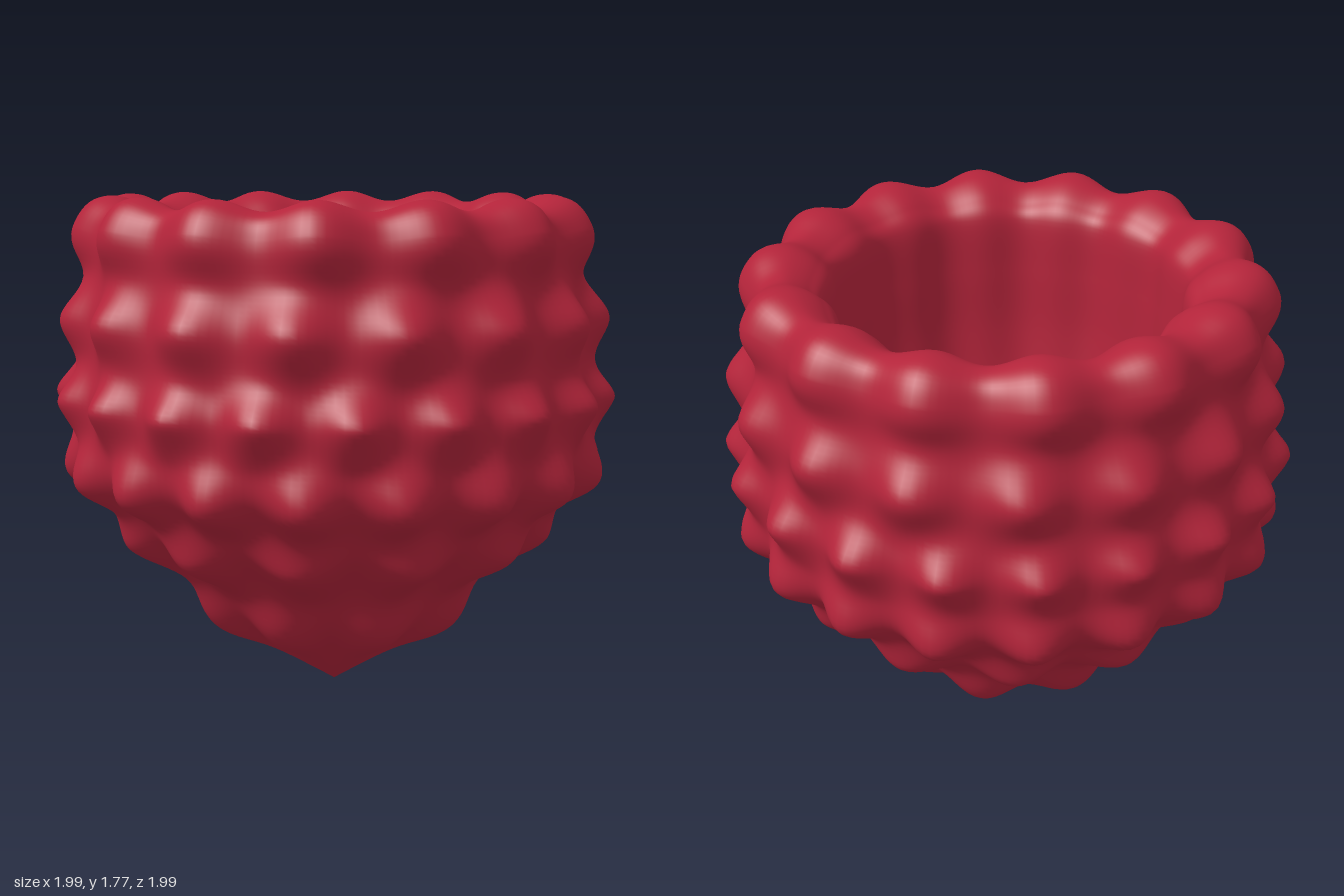
import * as THREE from 'three';
import { mergeVertices } from 'three/addons/utils/BufferGeometryUtils.js';

// Berry rows from the tip up: count around, angle of first bump, height of bump
const ROWS = [
  [8, -0.1, 0.085], [12, 0.15, 0.105], [18, -0.14, 0.115],
  [19, 0.06, 0.115], [16, 0.17, 0.115], [14, 0.25, 0.105],
];

// Profile: radius, height, row position (whole numbers are row centres)
const PROFILE = [
  [0, 0, 0], [0.2, 0.13, 0.4], [0.4, 0.31, 1], [0.53, 0.45, 1.5],
  [0.69, 0.62, 2], [0.785, 0.71, 2.5], [0.86, 0.84, 3], [0.895, 0.95, 3.5],
  [0.885, 1.07, 4], [0.88, 1.2, 4.5], [0.86, 1.34, 5], [0.845, 1.49, 5.5],
  [0.82, 1.63, 6], [0.795, 1.69, 6.18], [0.74, 1.715, 6.35], [0.67, 1.695, 6.5],
  [0.62, 1.645, 6.6], [0.605, 1.45, 6.65], [0.595, 1.2, 6.7], [0.555, 0.95, 6.75],
  [0.46, 0.69, 6.82], [0.32, 0.46, 6.88], [0.15, 0.31, 6.95], [0, 0.27, 7],
];

// Height of the bumps at an angle and a row position
function bumpHeight(angle, s) {
  let sum = 0;
  ROWS.forEach(([count, phase, height], i) => {
    const d = Math.abs(s - (i + 1));
    if (d >= 1) return;
    const fall = Math.pow(Math.cos(d * Math.PI / 2), 4.5);
    const around = 0.5 + 0.5 * Math.cos(count * (angle - phase));
    sum += height * fall * (0.35 + 0.65 * around);
  });
  // Soft flutes down the hollow
  const flute = THREE.MathUtils.smoothstep(s, 6.3, 6.6) * (7 - s) * 0.025;
  return sum + flute * Math.cos(14 * (angle - 0.25));
}

export function createModel() {
  const group = new THREE.Group();
  group.name = 'hollowBerry';
  const berryRed = new THREE.MeshStandardMaterial({ color: 0xb3243a });
  berryRed.name = 'berryRed';

  // Turned wall: up the outside, over the rim and down into the hollow
  const curve = new THREE.CatmullRomCurve3(PROFILE.map((p) => new THREE.Vector3(...p)));
  const rings = curve.getPoints(184);
  rings[0].x = rings[184].x = 0;
  const around = 216;
  const lathe = new THREE.LatheGeometry(
    rings.map((p) => new THREE.Vector2(Math.max(0, p.x), p.y)), around);

  // Push each point out along its normal to raise the bumps
  const pos = lathe.attributes.position;
  const nor = lathe.attributes.normal;
  for (let i = 0; i < pos.count; i++) {
    const ring = rings[i % rings.length];
    if (ring.x < 1e-6) continue;
    const angle = Math.floor(i / rings.length) / around * Math.PI * 2;
    const h = bumpHeight(angle, ring.z);
    pos.setXYZ(i, pos.getX(i) + nor.getX(i) * h,
      pos.getY(i) + nor.getY(i) * h, pos.getZ(i) + nor.getZ(i) * h);
  }

  // Weld the seam so the shading runs smoothly all round
  lathe.deleteAttribute('uv');
  lathe.deleteAttribute('normal');
  const geometry = mergeVertices(lathe, 1e-5);
  geometry.computeVertexNormals();
  const mesh = new THREE.Mesh(geometry, berryRed);
  mesh.name = 'berryWall';
  group.add(mesh);
  return group;
}
